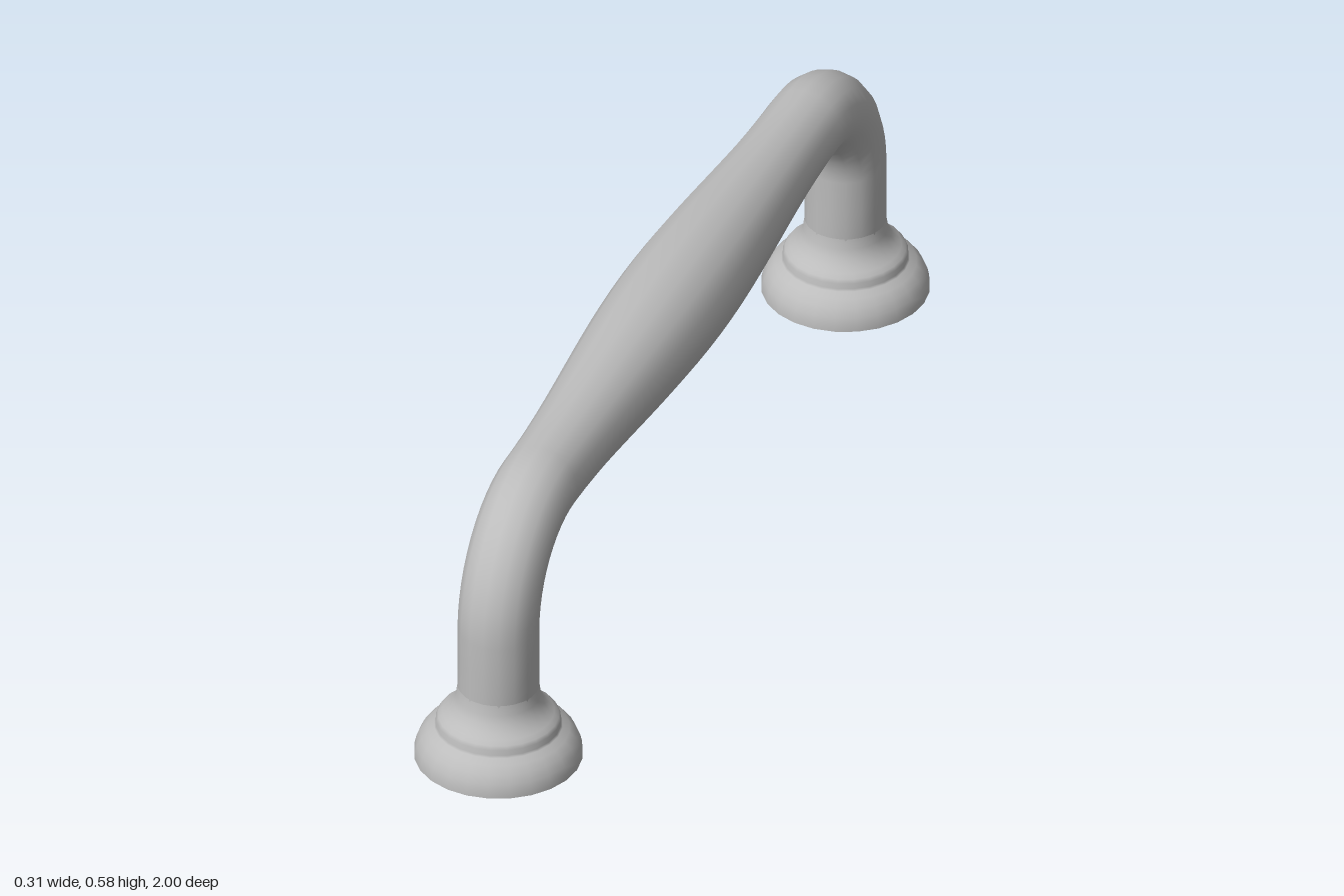
import * as THREE from 'three';

const LEG_Z = 0.845, TOP_Y = 0.472, BEND = 0.2, TUBE_R = 0.075, SWELL = 0.031, SIDES = 16;

// Stations along the handle: centre (y, z), outward direction angle t and radius
function handleStations() {
  const half = [];
  const bendY = TOP_Y - BEND, bendZ = LEG_Z - BEND;
  for (const y of [0.145, 0.21]) half.push({ y, z: LEG_Z, t: 0, r: TUBE_R });
  for (let i = 0; i <= 12; i++) {
    const t = (i / 12) * Math.PI / 2;
    half.push({ y: bendY + BEND * Math.sin(t), z: bendZ + BEND * Math.cos(t), t, r: TUBE_R });
  }
  for (let i = 1; i <= 12; i++) {
    const k = 1 - i / 12;
    const r = TUBE_R + SWELL * Math.cos(k * Math.PI / 2) ** 2;
    half.push({ y: TOP_Y, z: bendZ * k, t: Math.PI / 2, r });
  }
  const mirrored = half.slice(0, -1).reverse().map(s => ({ ...s, z: -s.z, t: Math.PI - s.t }));
  return half.concat(mirrored);
}

// Round sweep with a varying radius
function sweep(stations) {
  const pos = [], index = [];
  stations.forEach(({ y, z, t, r }, i) => {
    for (let j = 0; j < SIDES; j++) {
      const a = (j / SIDES) * Math.PI * 2;
      const n = r * Math.sin(a);
      pos.push(r * Math.cos(a), y + n * Math.sin(t), z + n * Math.cos(t));
      if (i < stations.length - 1) {
        const p = i * SIDES + j, q = i * SIDES + (j + 1) % SIDES;
        index.push(p, p + SIDES, q, q, p + SIDES, q + SIDES);
      }
    }
  });
  const geo = new THREE.BufferGeometry();
  geo.setAttribute('position', new THREE.Float32BufferAttribute(pos, 3));
  geo.setIndex(index);
  geo.computeVertexNormals();
  return geo;
}

export function createModel() {
  const group = new THREE.Group();
  const metal = new THREE.MeshStandardMaterial({ color: 0xbcbcbc });
  metal.name = 'grey metal';

  const add = (parent, name, geo) => {
    const mesh = new THREE.Mesh(geo, metal);
    mesh.name = name;
    parent.add(mesh);
    return mesh;
  };

  // Bowed grip with both bent legs
  add(group, 'handle', sweep(handleStations()));

  // Stepped, flared foot profile
  const profile = [
    [0.155, 0], [0.1545, 0.012], [0.151, 0.027], [0.143, 0.043], [0.131, 0.056], [0.118, 0.064],
    [0.115, 0.068], [0.115, 0.079], [0.111, 0.086], [0.103, 0.093], [0.093, 0.102],
    [0.084, 0.115], [0.078, 0.13], [0.075, 0.15],
  ].map(([r, y]) => new THREE.Vector2(r, y));
  const footGeo = new THREE.LatheGeometry(profile, 24);
  const undersideGeo = new THREE.CircleGeometry(0.155, 24).rotateX(Math.PI / 2);

  for (const [name, side] of [['frontFoot', 1], ['backFoot', -1]]) {
    const foot = new THREE.Group();
    foot.name = name;
    foot.position.z = side * LEG_Z;
    add(foot, 'flange', footGeo);
    add(foot, 'underside', undersideGeo);
    group.add(foot);
  }
  return group;
}
